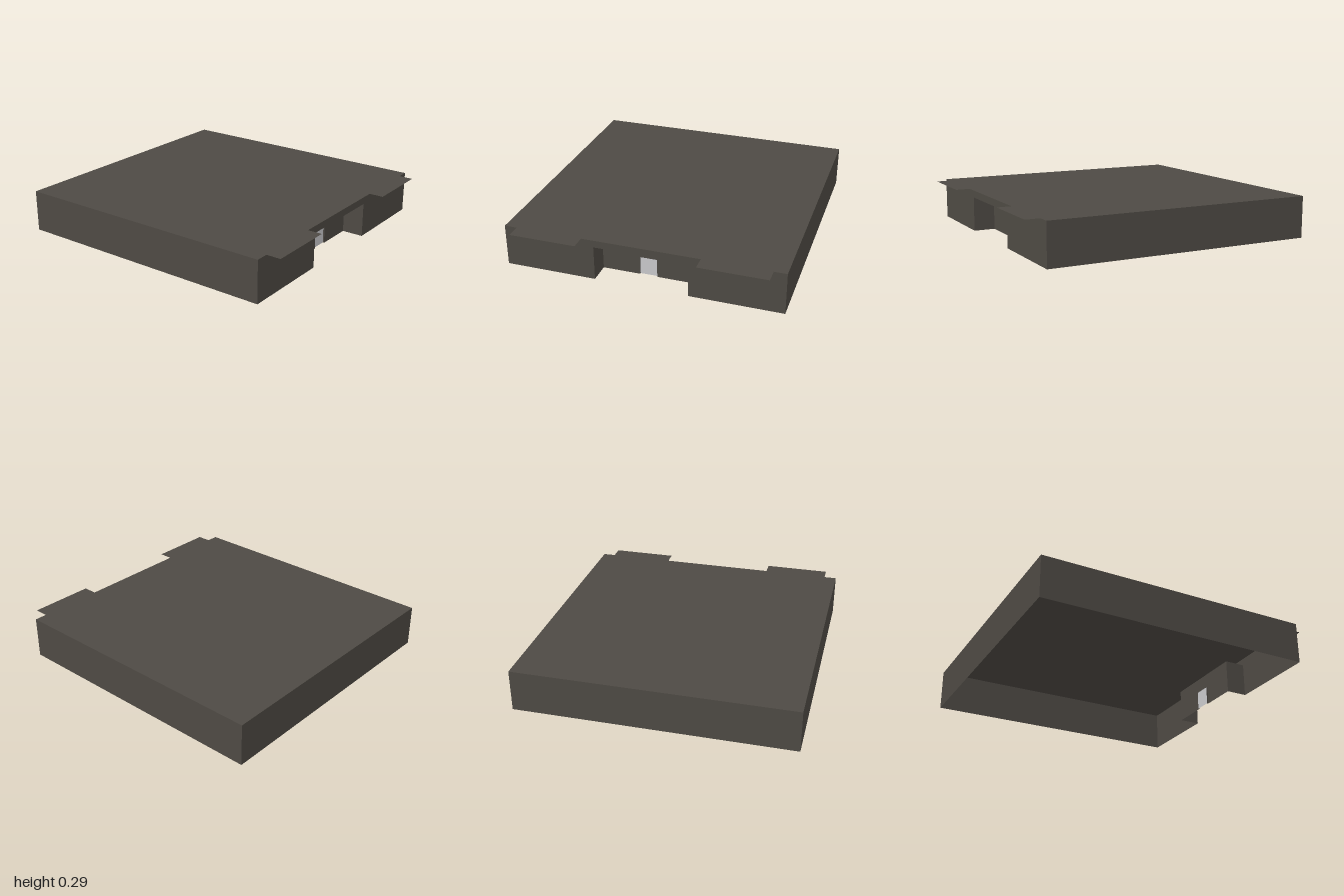
import * as THREE from 'three';

const H = 0.29, D = 0.95, X0 = -1, X1 = 0.9; // height, half depth, side walls
const PW = 0.32, PH = 0.24, PX = 0.75;       // porch half width, height, back wall
const DW = 0.06, DH = 0.13, DX = 0.74;       // doorway half width, height, door panel

export function createModel() {
  const model = new THREE.Group();
  const stone = new THREE.MeshStandardMaterial({ color: 0x4e4a44, side: THREE.DoubleSide });
  stone.name = 'dark stone';
  const pale = new THREE.MeshStandardMaterial({ color: 0xc9c9cc, side: THREE.DoubleSide });
  pale.name = 'pale door';

  const add = (name, geometry, x, y, z, material = stone) => {
    const mesh = new THREE.Mesh(geometry, material);
    mesh.name = name;
    mesh.position.set(x, y, z);
    model.add(mesh);
  };
  // Sheets facing up, facing front or back, and facing sideways
  const level = (w, d) => new THREE.PlaneGeometry(w, d).rotateX(-Math.PI / 2);
  const facing = (w, h, s) => new THREE.PlaneGeometry(w, h).rotateY(s > 0 ? 0 : Math.PI);
  const sideways = (d, h, s) => new THREE.PlaneGeometry(d, h).rotateY(s * Math.PI / 2);
  // Sideways wall with an opening that reaches the ground
  const archWall = (half, height, openHalf, openHeight) => {
    const shape = new THREE.Shape([
      [-half, 0], [-openHalf, 0], [-openHalf, openHeight], [openHalf, openHeight],
      [openHalf, 0], [half, 0], [half, height], [-half, height],
    ].map(([x, y]) => new THREE.Vector2(x, y)));
    return new THREE.ShapeGeometry(shape).rotateY(Math.PI / 2);
  };
  // Sides and ceiling of a recess running from xa in to xb
  const recess = (name, xa, xb, half, height) => {
    const depth = xa - xb, x = (xa + xb) / 2;
    for (const s of [1, -1]) add(name + 'Side', facing(depth, height, -s), x, height / 2, s * half);
    add(name + 'Ceiling', level(depth, half * 2).rotateX(Math.PI), x, height, 0);
  };

  // Shell, open underneath
  const width = X1 - X0, cx = (X0 + X1) / 2;
  add('roof', level(width, D * 2), cx, H, 0);
  add('frontWall', facing(width, H, 1), cx, H / 2, D);
  add('backWall', facing(width, H, -1), cx, H / 2, -D);
  add('rightWall', sideways(D * 2, H, -1), X0, H / 2, 0);
  add('entranceWall', archWall(D, H, PW, PH), X1, 0, 0);

  // Flat eaves on either side of the entrance
  for (const s of [1, -1]) add('eave', level(0.1, 0.46), 0.95, H, s * 0.633);

  // Sunken porch with doorway
  recess('porch', X1, PX, PW, PH);
  add('porchBackWall', archWall(PW, PH, DW, DH), PX, 0, 0);
  recess('doorway', PX, DX, DW, DH);
  add('door', sideways(DW * 2, DH, 1), DX, DH / 2, 0, pale);

  return model;
}
